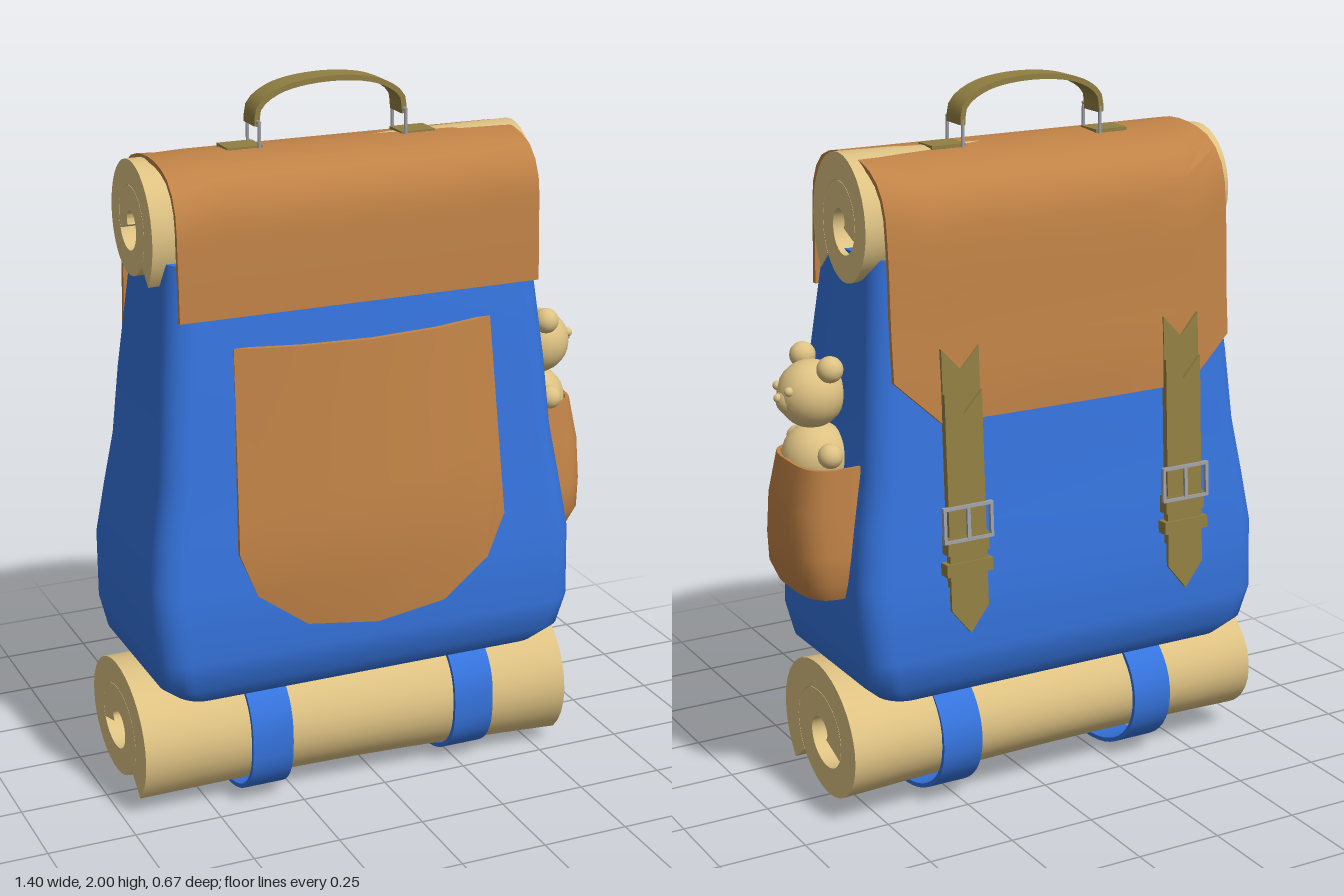
import * as THREE from 'three';
import { toCreasedNormals } from 'three/addons/utils/BufferGeometryUtils.js';

const mat = (name, color) => Object.assign(new THREE.MeshStandardMaterial({ color }), { name });

// Outlines as [a, b] pairs
const superEllipse = (ra, rb, n, count) => Array.from({ length: count }, (_, i) => {
  const t = (i / count) * Math.PI * 2, c = Math.cos(t), s = Math.sin(t);
  return [ra * Math.sign(c) * Math.abs(c) ** (2 / n), rb * Math.sign(s) * Math.abs(s) ** (2 / n)];
});
const roundedRect = (ra, rb, r) => [[1, 1], [-1, 1], [-1, -1], [1, -1]].flatMap(([sa, sb], q) =>
  Array.from({ length: 8 }, (_, i) => {
    const t = (q + i / 7) * Math.PI / 2;
    return [sa * (ra - r) + r * Math.cos(t), sb * (rb - r) + r * Math.sin(t)];
  }));

// Skin over horizontal rings, each [y, centreX, centreZ, halfX, halfZ], closed at both ends
function loft(rings, outline, crease) {
  const pos = [], idx = [], count = outline(1, 1).length;
  for (const [y, cx, cz, hx, hz] of rings)
    for (const [a, b] of outline(hx, hz)) pos.push(cx + a, y, cz + b);
  for (let r = 0; r < rings.length - 1; r++)
    for (let i = 0; i < count; i++) {
      const a = r * count + i, b = r * count + (i + 1) % count;
      idx.push(a, a + count, b, b, a + count, b + count);
    }
  const first = rings[0], last = rings[rings.length - 1], base = (rings.length - 1) * count;
  const c0 = pos.length / 3;
  pos.push(first[1], first[0], first[2], last[1], last[0], last[2]);
  for (let i = 0; i < count; i++) {
    const j = (i + 1) % count;
    idx.push(c0, i, j, c0 + 1, base + j, base + i);
  }
  const g = new THREE.BufferGeometry();
  g.setAttribute('position', new THREE.Float32BufferAttribute(pos, 3));
  g.setIndex(idx);
  return toCreasedNormals(g, crease);
}

// Move every vertex by rule(x, y, z)
function warp(g, rule) {
  const p = g.attributes.position;
  for (let i = 0; i < p.count; i++) p.setXYZ(i, ...rule(p.getX(i), p.getY(i), p.getZ(i)));
  return toCreasedNormals(g, 0.7);
}
const warpedBox = (nu, nv, rule) => warp(new THREE.BoxGeometry(1, 1, 1, nu, nv, 1), rule);

const toShape = pts => new THREE.Shape(pts.map(([a, b]) => new THREE.Vector2(a, b)));
const extrude = (shape, depth, steps = 1) =>
  toCreasedNormals(new THREE.ExtrudeGeometry(shape, { depth, steps, bevelEnabled: false }), 0.6);
// Side outline given as (-z, y), extruded along x
const extrudeAlongX = (shape, x0, x1, steps) =>
  extrude(shape, x1 - x0, steps).rotateY(Math.PI / 2).translate(x0, 0, 0);

// Rolled mat: spiral section, a little narrower at its right end, slanted at its left end
function rolledMat(scaleZ, scaleY, y, z, x0, x1, shrink, slant) {
  const outer = [], inner = [], steps = 60;
  for (let i = 0; i <= steps; i++) {
    const turn = -0.12 + 1.67 * i / steps, ang = Math.PI - turn * Math.PI * 2, r = 0.29 - 0.105 * turn;
    const at = q => [scaleZ * (0.025 + q * Math.cos(ang)), scaleY * q * Math.sin(ang)];
    outer.push(at(r));
    inner.push(at(r - 0.103));
  }
  const g = extrudeAlongX(toShape([...outer, ...inner.reverse()]), x0, x1, 8);
  return warp(g, (vx, vy, vz) => {
    const f = (vx - x0) / (x1 - x0), k = shrink * (1 - f);
    const sag = 0.1 * Math.sin(Math.PI * f) * Math.max(0, -vy);
    return [vx - f * slant * vz, y + vy * (1 - k / 2) + sag, z + vz * (1 - k) - 0.02 * (1 - f)];
  });
}

export function createModel() {
  const blue = mat('blue canvas', 0x3573dc), brown = mat('brown leather', 0xc08246);
  const tan = mat('tan felt', 0xdec283), olive = mat('olive strap', 0x917f42), grey = mat('grey metal', 0xa0a0a8);
  const model = new THREE.Group();
  const add = (name, geo, material, parent = model) => {
    const m = new THREE.Mesh(geo, material);
    m.name = name;
    parent.add(m);
    return m;
  };
  const box = (w, h, d, x, y, z) => new THREE.BoxGeometry(w, h, d).translate(x, y, z);

  // Bag body
  add('bagBody', loft([
    [0.35, 0.46, 0.2], [0.362, 0.55, 0.255], [0.41, 0.603, 0.292], [0.5, 0.622, 0.31], [0.7, 0.627, 0.295],
    [0.85, 0.605, 0.277], [1.0, 0.58, 0.26], [1.2, 0.565, 0.24], [1.5, 0.535, 0.202], [1.57, 0.53, 0.192],
  ].map(([y, hx, hz]) => [y, -0.05, -0.01, hx, hz]), (a, b) => roundedRect(a, b, 0.075), 0.9), blue);

  // Rolled mats
  add('bottomRoll', rolledMat(1, 0.77, 0.2, 0, -0.7, 0.585, 0.14, 0.065), tan);
  add('topRoll', rolledMat(0.73, 0.72, 1.64, -0.008, -0.615, 0.497, 0.15, 0.085), tan);

  // Loops holding the bottom roll
  const loopOutline = grow => superEllipse(1, 1, 2, 48).map(([c, s]) => {
    const e = c < 0 ? 0.8 : 0.95;
    return [((c < 0 ? 0.25 : 0.26) + grow) * Math.sign(c) * Math.abs(c) ** e,
      0.2 + (0.187 + grow) * Math.sign(s) * Math.abs(s) ** e];
  });
  for (const x of [-0.345, 0.275]) {
    const s = toShape(loopOutline(0.012));
    s.holes.push(new THREE.Path(toShape(loopOutline(0)).getPoints()));
    add('rollLoop', extrudeAlongX(s, x - 0.06, x + 0.06), blue);
  }

  // Flap from the front, over the top and down the back, where it bulges in the middle
  const path = new THREE.CatmullRomCurve3([
    [1.43, 0.207], [1.6, 0.201], [1.72, 0.19], [1.785, 0.145], [1.815, 0.06], [1.815, -0.06], [1.785, -0.16],
    [1.72, -0.217], [1.6, -0.238], [1.4, -0.25], [1.14, -0.275],
  ].map(([y, z]) => new THREE.Vector3(0, y, z)));
  add('flap', warpedBox(8, 26, (u, v, w) => {
    const s = (v + 0.5) * (Math.abs(u) > 0.49 ? 0.91 : 1);
    const p = path.getPointAt(s), t = path.getTangentAt(s);
    const bulge = 0.022 * (1 - 4 * u * u) * THREE.MathUtils.smoothstep(-p.z, 0.1, 0.23)
      * THREE.MathUtils.smoothstep(p.y, 1.0, 1.3);
    return [-0.05 + u * 1.045, p.y - t.z * w * 0.014, p.z + t.y * w * 0.014 - bulge];
  }), brown);

  // Front pocket: a thin curved sheet, open at the top
  const px = [0, 0.205, 0.345, 0.395], py = [0.54, 0.565, 0.665, 0.79];
  add('frontPocket', warpedBox(6, 6, (u, v, w) => {
    const k = Math.round(Math.abs(u) * 6), f = v + 0.5;
    const x = Math.sign(u) * px[k] * (1 - 0.05 * f), y = py[k] + (1.345 - py[k]) * f;
    const front = y > 0.79 ? 0.335 - (y - 0.79) * 0.1 : 0.335 - (0.79 - y) * 0.09;
    return [x - 0.05, y, front - (0.046 + 0.025 * f) * (x / 0.39) ** 2 - (w < 0 ? 0.016 : 0)];
  }), brown);

  // Side pocket, open at the top
  add('sidePocket', loft([
    [0.64, 0.56, -0.02, 0.07, 0.11], [0.652, 0.56, -0.016, 0.11, 0.15], [0.7, 0.56, -0.015, 0.13, 0.173],
    [0.78, 0.56, -0.018, 0.137, 0.17], [0.9, 0.56, -0.026, 0.137, 0.157], [1.02, 0.56, -0.034, 0.115, 0.144],
    [1.02, 0.56, -0.034, 0.105, 0.134], [0.97, 0.56, -0.034, 0.105, 0.134],
  ], (a, b) => superEllipse(a, b, 3.2, 40), 0.8), brown);

  // Toy bear in the side pocket, looking along +x
  const bear = new THREE.Group();
  bear.name = 'toyBear';
  model.add(bear);
  const ball = (name, r, x, y, z) => add(name, new THREE.SphereGeometry(r, 20, 14).translate(x, y, z), tan, bear);
  ball('bearHead', 0.093, 0.582, 1.183, 0.008);
  ball('bearBody', 0.095, 0.575, 1.01, 0.0);
  ball('bearSnout', 0.042, 0.64, 1.172, 0.008);
  ball('bearNose', 0.012, 0.679, 1.183, 0.008);
  for (const s of [-1, 1]) {
    ball('bearEar', 0.036, 0.565, 1.267, 0.008 + s * 0.086);
    ball('bearEye', 0.013, 0.663, 1.207, 0.008 + s * 0.037);
    ball('bearPaw', 0.034, 0.582, 1.037, -0.005 + s * 0.1);
  }

  // Back straps with buckles
  const band = (top, bottom, w, tip) => toShape([[-w, top], [-w, bottom + tip], [0, bottom], [w, bottom + tip],
    [w, top], [0, top - 0.06]]);
  const frame = toShape([[-0.075, -0.05], [0.075, -0.05], [0.075, 0.05], [-0.075, 0.05]]);
  frame.holes.push(new THREE.Path([[-0.066, -0.041], [-0.066, 0.041], [0.066, 0.041], [0.066, -0.041]]
    .map(([a, b]) => new THREE.Vector2(a, b))));
  for (const x of [-0.405, 0.285]) {
    const strap = new THREE.Group();
    strap.name = 'backStrap';
    strap.position.set(x, 0.94, -0.296);
    strap.rotation.set(0.06, Math.PI, 0);
    model.add(strap);
    add('underStrap', extrude(band(0.4, -0.25, 0.056, 0), 0.01), olive, strap);
    add('overStrap', extrude(band(0.28, -0.385, 0.056, 0.07), 0.01).translate(0, 0, 0.01), olive, strap);
    add('strapKeeper', box(0.14, 0.035, 0.036, 0, -0.2, 0.01), olive, strap);
    add('buckleSleeve', box(0.125, 0.05, 0.034, 0, -0.135, 0.006), olive, strap);
    add('buckleFrame', extrude(frame, 0.012).translate(0, -0.075, 0.016), grey, strap);
    add('bucklePin', box(0.01, 0.09, 0.008, 0, -0.075, 0.025), grey, strap);
  }

  // Carrying handle
  const arch = new THREE.CatmullRomCurve3([
    [-0.27, 1.88], [-0.262, 1.93], [-0.2, 1.972], [-0.05, 1.992], [0.09, 1.972], [0.152, 1.93], [0.16, 1.88],
  ].map(([a, b]) => new THREE.Vector3(a, b, 0)));
  add('handle', warpedBox(24, 1, (u, v, w) => {
    const p = arch.getPointAt(u + 0.5), t = arch.getTangentAt(u + 0.5);
    return [p.x - t.y * v * 0.015, p.y + t.x * v * 0.015, -0.034 + w * 0.078];
  }), olive);
  for (const [x, out] of [[-0.268, -1], [0.158, 1]]) {
    add('handlePlate', box(0.1, 0.012, 0.078, x + out * 0.04, 1.825, -0.026), olive);
    for (const z of [-0.069, 0.017])
      add('handleRingSide', new THREE.CylinderGeometry(0.005, 0.005, 0.075, 8).translate(x, 1.858, z), grey);
    for (const y of [1.825, 1.893])
      add('handleRingBar', new THREE.CylinderGeometry(0.005, 0.005, 0.092, 8).rotateX(Math.PI / 2).translate(x, y, -0.026), grey);
  }
  return model;
}
